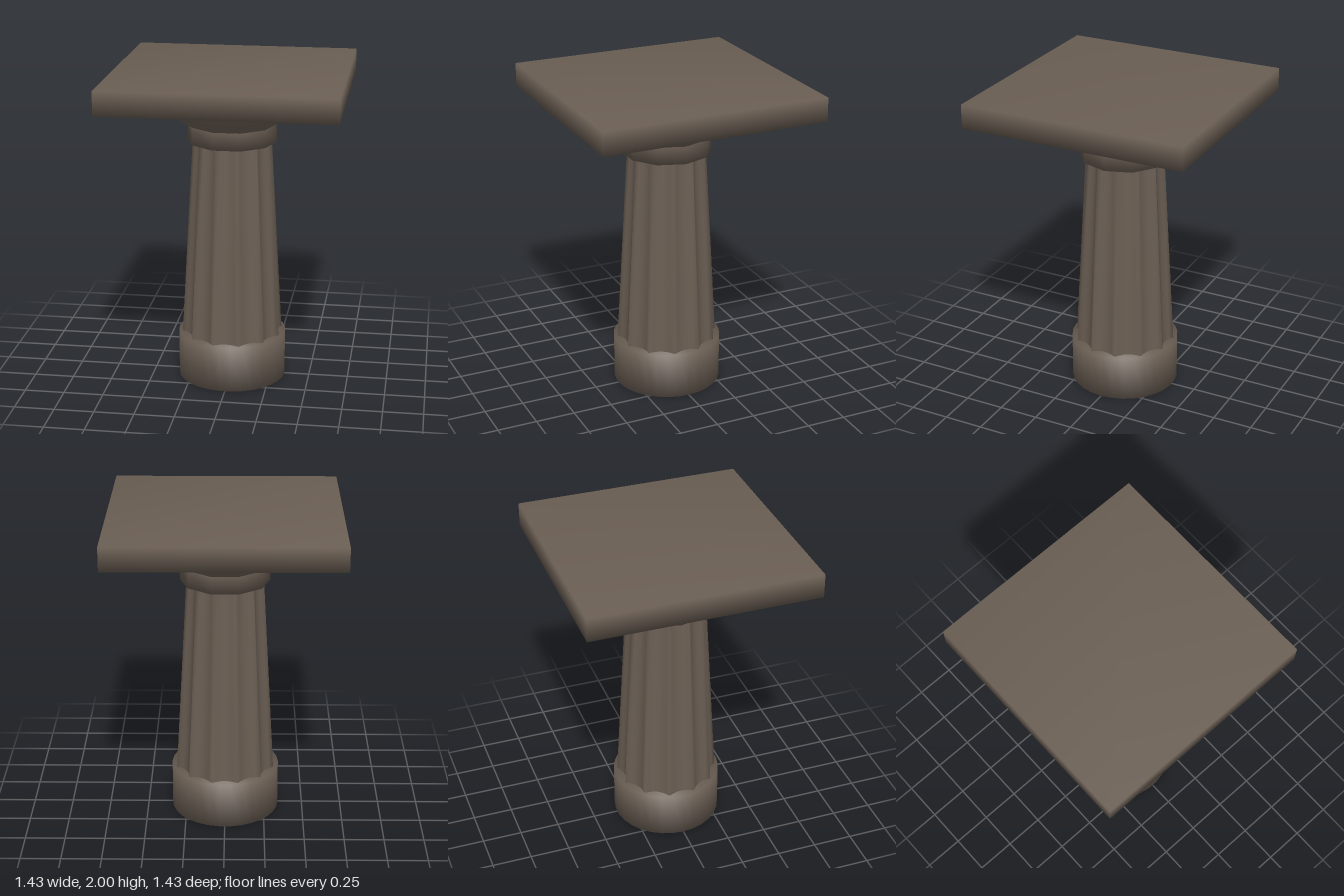
import * as THREE from 'three';
import { mergeVertices } from 'three/addons/utils/BufferGeometryUtils.js';

// Share corner vertices so normals blend softly over every edge
function soften(geometry) {
  geometry.deleteAttribute('uv');
  geometry.deleteAttribute('normal');
  const merged = mergeVertices(geometry, 1e-4);
  merged.computeVertexNormals();
  return merged;
}

// Turned part from [radius, y] pairs, with a corner on the x axis
function turned(profile, sides) {
  const points = profile.map(([r, y]) => new THREE.Vector2(r, y));
  return soften(new THREE.LatheGeometry(points, sides, Math.PI / 2));
}

// Tapered shaft whose radius dips between evenly spaced ridges
function flutedShaft(rTop, rBottom, y0, y1, flutes, depth) {
  const g = new THREE.CylinderGeometry(rTop, rBottom, y1 - y0, flutes * 6, 1, true);
  const p = g.attributes.position;
  for (let i = 0; i < p.count; i++) {
    const turn = Math.atan2(p.getZ(i), p.getX(i)) / (2 * Math.PI) + 1;
    const t = (turn * flutes + 0.5) % 1;
    const k = 1 - depth * (1 - (2 * t - 1) ** 2);
    p.setXYZ(i, p.getX(i) * k, p.getY(i), p.getZ(i) * k);
  }
  g.translate(0, (y0 + y1) / 2, 0);
  return soften(g);
}

export function createModel() {
  const group = new THREE.Group();
  group.name = 'column';
  const stone = new THREE.MeshStandardMaterial({ color: 0x6a5e53 });
  stone.name = 'brown stone';

  const add = (name, geometry) => {
    const mesh = new THREE.Mesh(geometry, stone);
    mesh.name = name;
    group.add(mesh);
  };

  // Round drum at the foot
  add('base', turned([[0, 0], [0.342, 0], [0.342, 0.295], [0, 0.295]], 30));

  // Fluted shaft
  add('shaft', flutedShaft(0.248, 0.32, 0.295, 1.55, 12, 0.115));

  // Ten-sided neck and flaring capital
  add('neck', turned([[0, 1.55], [0.28, 1.55], [0.275, 1.66]], 10));
  add('capital', turned([[0.275, 1.66], [0.4, 1.742], [0.478, 1.85]], 10));

  // Square slab on top
  const slab = new THREE.BoxGeometry(1.426, 0.15, 1.426);
  slab.translate(0, 1.925, 0);
  add('slab', soften(slab));

  return group;
}
